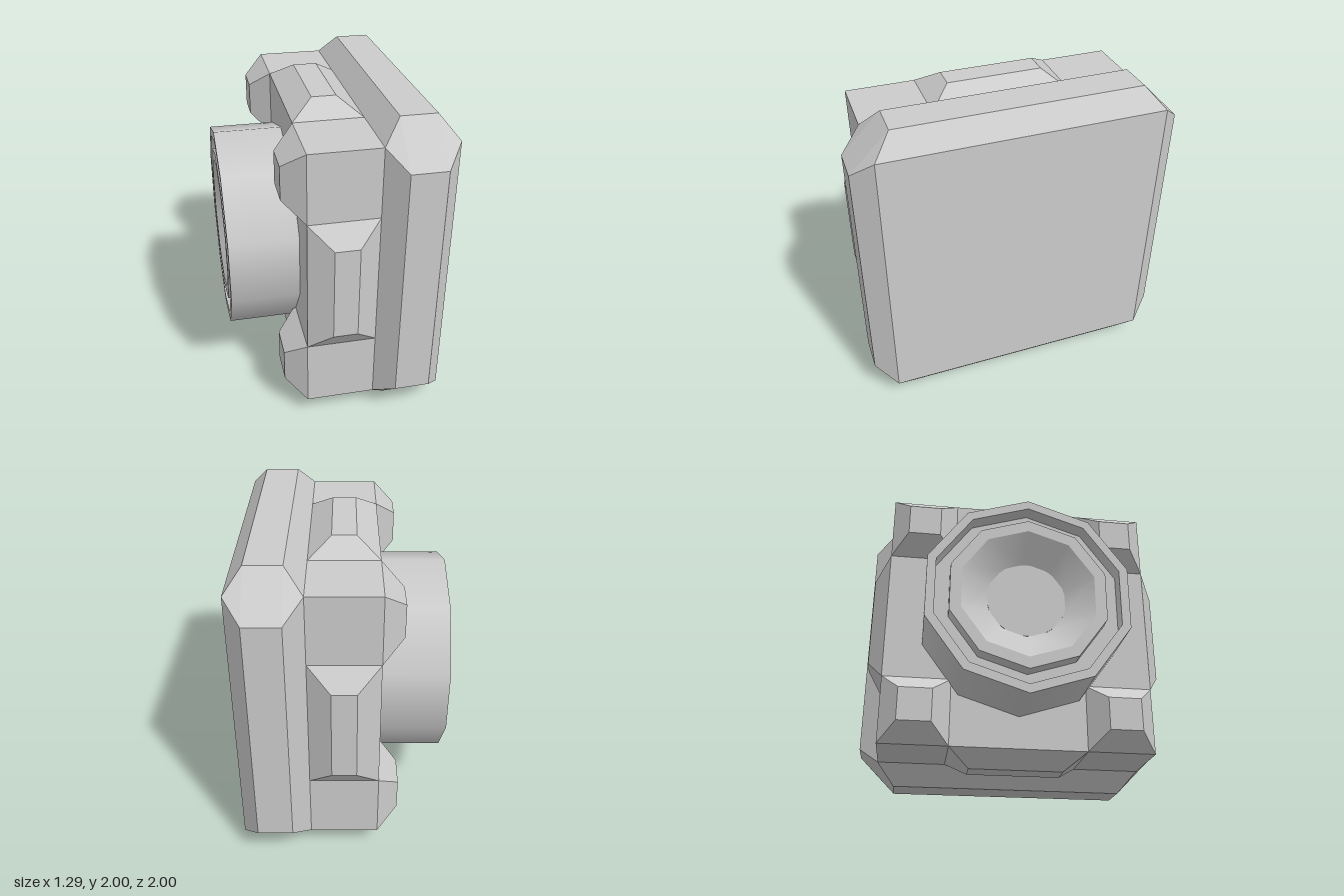
import * as THREE from 'three';
import { ConvexGeometry } from 'three/addons/geometries/ConvexGeometry.js';
import { mergeGeometries } from 'three/addons/utils/BufferGeometryUtils.js';

const material = new THREE.MeshStandardMaterial({ color: 0xcccccc });
const flatMaterial = new THREE.MeshStandardMaterial({ color: 0xcccccc, flatShading: true });
const V = (x, y, z) => new THREE.Vector3(x, y, z);

export function createModel() {
  const model = new THREE.Group();
  const body = new THREE.Group();
  body.position.y = 1;
  model.add(body);

  const add = (name, geometry, mat = flatMaterial) => {
    const mesh = new THREE.Mesh(geometry, mat);
    mesh.name = name;
    body.add(mesh);
    return mesh;
  };

  // Bevelled mounting plate: chamfered square between two smaller squares
  const platePoints = [];
  for (const sy of [-1, 1]) for (const sz of [-1, 1]) {
    for (const x of [0.21, 0.645]) platePoints.push(V(x, sy * 0.87, sz * 0.87));
    for (const x of [0.32, 0.54]) {
      platePoints.push(V(x, sy, sz * 0.76), V(x, sy * 0.76, sz));
    }
  }
  add('mountingPlate', new ConvexGeometry(platePoints));

  // Square housing
  const housing = new THREE.BoxGeometry(0.43, 1.74, 1.74);
  housing.translate(-0.005, 0, 0);
  add('housing', housing);

  // Raised bevelled panel on each of the four edges
  const panelPoints = [];
  for (const s of [-1, 1]) {
    for (const x of [-0.22, 0.21]) panelPoints.push(V(x, 0.86, s * 0.435), V(x, 0.87, s * 0.435));
    for (const x of [-0.08, 0.07]) panelPoints.push(V(x, 0.968, s * 0.3));
  }
  for (let i = 0; i < 4; i++) {
    add('edgePanel', new ConvexGeometry(panelPoints)).rotation.x = i * Math.PI / 2;
  }

  // Tapered foot at each corner of the housing face
  const footPoints = [];
  for (const y of [0, 1]) for (const z of [0, 1]) {
    footPoints.push(V(-0.22, y ? 0.87 : 0.435, z ? 0.87 : 0.435));
    footPoints.push(V(-0.35, y ? 0.76 : 0.55, z ? 0.76 : 0.55));
  }
  for (let i = 0; i < 4; i++) {
    add('cornerFoot', new ConvexGeometry(footPoints)).rotation.x = i * Math.PI / 2;
  }

  // Ten-sided barrel: outer wall, groove, inner ring and tapered bowl (radius, height)
  const profile = [
    [0.663, 0.2], [0.663, 0.65], [0.605, 0.65], [0.605, 0.55], [0.51, 0.55],
    [0.51, 0.65], [0.435, 0.65], [0.25, 0.53], [0, 0.53],
  ].map(([r, h]) => new THREE.Vector2(r, h));
  const bands = [];
  for (let i = 0; i < profile.length - 1; i++) {
    bands.push(new THREE.LatheGeometry([profile[i], profile[i + 1]], 10, Math.PI / 2));
  }
  const barrel = mergeGeometries(bands);
  barrel.rotateZ(Math.PI / 2);
  add('barrel', barrel, material);

  // Round disc at the bottom of the bowl
  const disc = new THREE.CylinderGeometry(0.25, 0.25, 0.02, 32);
  disc.rotateZ(Math.PI / 2);
  disc.translate(-0.525, 0, 0);
  add('centreDisc', disc, material);

  return model;
}
